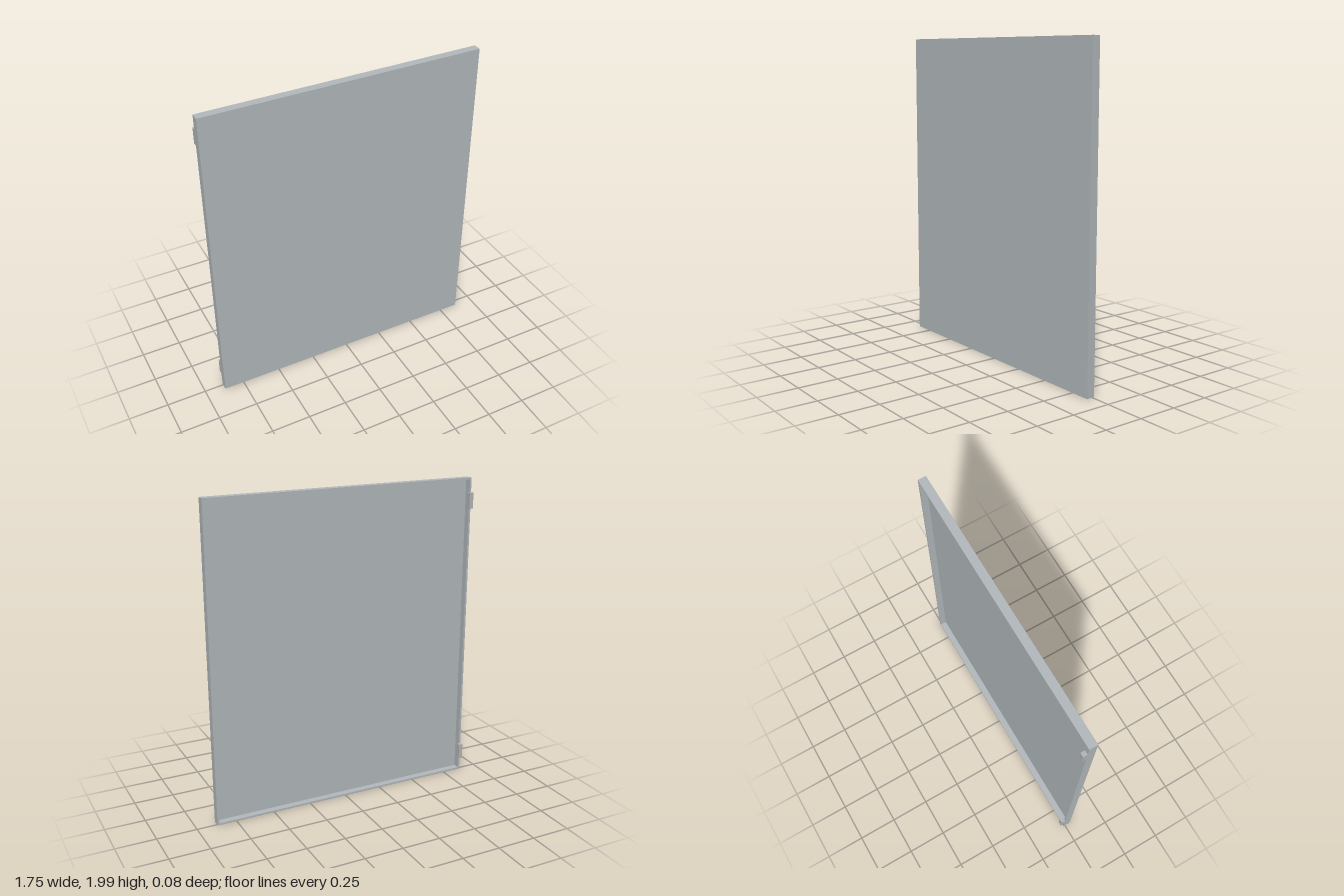
import * as THREE from 'three';

export function createModel() {
  const model = new THREE.Group();
  const steel = new THREE.MeshStandardMaterial({ color: 0xb3babd });
  steel.name = 'steel grey';
  const hingeSteel = new THREE.MeshStandardMaterial({ color: 0xb4b6b7 });
  hingeSteel.name = 'hinge grey';

  // Outer limits of the door and its sheet thickness
  const left = -0.877, right = 0.874, bottom = 0.007, top = 2;
  const back = -0.012, front = 0.039, sheet = 0.01, rim = 0.012;

  // Box given by its two opposite corners
  function addBox(name, material, [x0, y0, z0], [x1, y1, z1]) {
    const mesh = new THREE.Mesh(new THREE.BoxGeometry(x1 - x0, y1 - y0, z1 - z0), material);
    mesh.position.set((x0 + x1) / 2, (y0 + y1) / 2, (z0 + z1) / 2);
    mesh.name = name;
    model.add(mesh);
  }

  // Flat front sheet
  addBox('doorPanel', steel, [left, bottom, front - sheet], [right, top, front]);

  // Folded rim, open at the back
  const outline = (shape, inset) => {
    shape.moveTo(left + inset, bottom + inset);
    shape.lineTo(right - inset, bottom + inset);
    shape.lineTo(right - inset, top - inset);
    shape.lineTo(left + inset, top - inset);
    shape.closePath();
    return shape;
  };
  const frame = outline(new THREE.Shape(), 0);
  frame.holes.push(outline(new THREE.Path(), rim));
  const rimMesh = new THREE.Mesh(
    new THREE.ExtrudeGeometry(frame, { depth: front - sheet - back, bevelEnabled: false }), steel);
  rimMesh.position.z = back;
  rimMesh.name = 'doorRim';
  model.add(rimMesh);

  // Hinge blocks on the back of one edge
  for (const [name, y] of [['lowerHinge', 0.1], ['upperHinge', 1.81]]) {
    addBox(name, hingeSteel, [left, y, -0.039], [left + 0.027, y + 0.1, back]);
  }

  return model;
}
